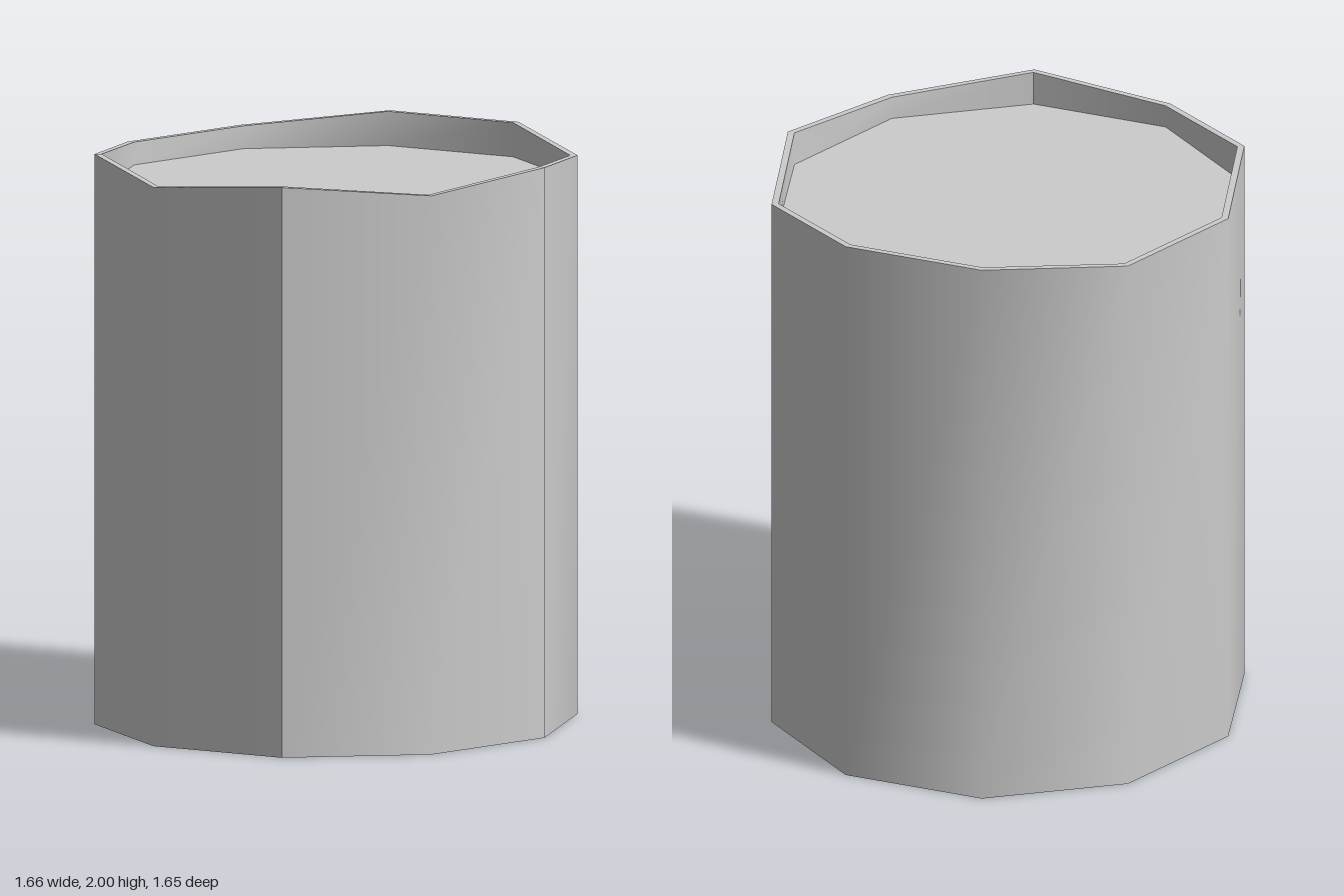
import * as THREE from 'three';

const SIDES = 10;
const SEAM = 2; // corner where the shading seam runs
const OUTER = [0.83, 0.87]; // x and z radii
const INNER = [0.805, 0.845];
const BASE_Y = 0.08;
const TOP_Y = 1.88;
// rim corners that dip below full height
const LOW = [1, 3, 5, 6, 9];
const rimY = (k) => (LOW.includes(k) ? 1.96 : 2);

// ring of corners; first and last coincide at the seam
function ring([rx, rz], height) {
  const points = [];
  for (let i = 0; i <= SIDES; i++) {
    const k = (i + SEAM) % SIDES;
    const a = (k / SIDES) * Math.PI * 2;
    points.push(rx * Math.cos(a), height(k), rz * Math.sin(a));
  }
  return points;
}

// band of quads between two rings, smooth except at the seam
function band(a, b) {
  const index = [];
  const n = SIDES + 1;
  for (let i = 0; i < SIDES; i++) {
    index.push(i, i + n, i + 1, i + 1, i + n, i + n + 1);
  }
  const geometry = new THREE.BufferGeometry();
  geometry.setAttribute('position', new THREE.Float32BufferAttribute([...a, ...b], 3));
  geometry.setIndex(index);
  geometry.computeVertexNormals();
  return geometry;
}

// flat decagon closing the recess, facing up (1) or down (-1)
function disc(y, facing) {
  return new THREE.CircleGeometry(1, SIDES)
    .rotateX((-facing * Math.PI) / 2)
    .scale(INNER[0], 1, INNER[1])
    .translate(0, y, 0);
}

export function createModel() {
  const group = new THREE.Group();
  group.name = 'barrel';
  const material = new THREE.MeshStandardMaterial({ color: 0xcccccc });
  const add = (name, geometry) => {
    const mesh = new THREE.Mesh(geometry, material);
    mesh.name = name;
    group.add(mesh);
  };

  // rings followed from the underside recess, around the wall, to the top recess
  const rings = [
    ring(INNER, () => BASE_Y),
    ring(INNER, () => 0),
    ring(OUTER, () => 0),
    ring(OUTER, rimY),
    ring(INNER, rimY),
    ring(INNER, () => TOP_Y),
  ];
  ['bottomInnerWall', 'bottomRim', 'outerWall', 'topRim', 'topInnerWall'].forEach((name, i) => {
    add(name, band(rings[i], rings[i + 1]));
  });

  // recessed ends
  add('topPanel', disc(TOP_Y, 1));
  add('bottomPanel', disc(BASE_Y, -1));
  return group;
}
